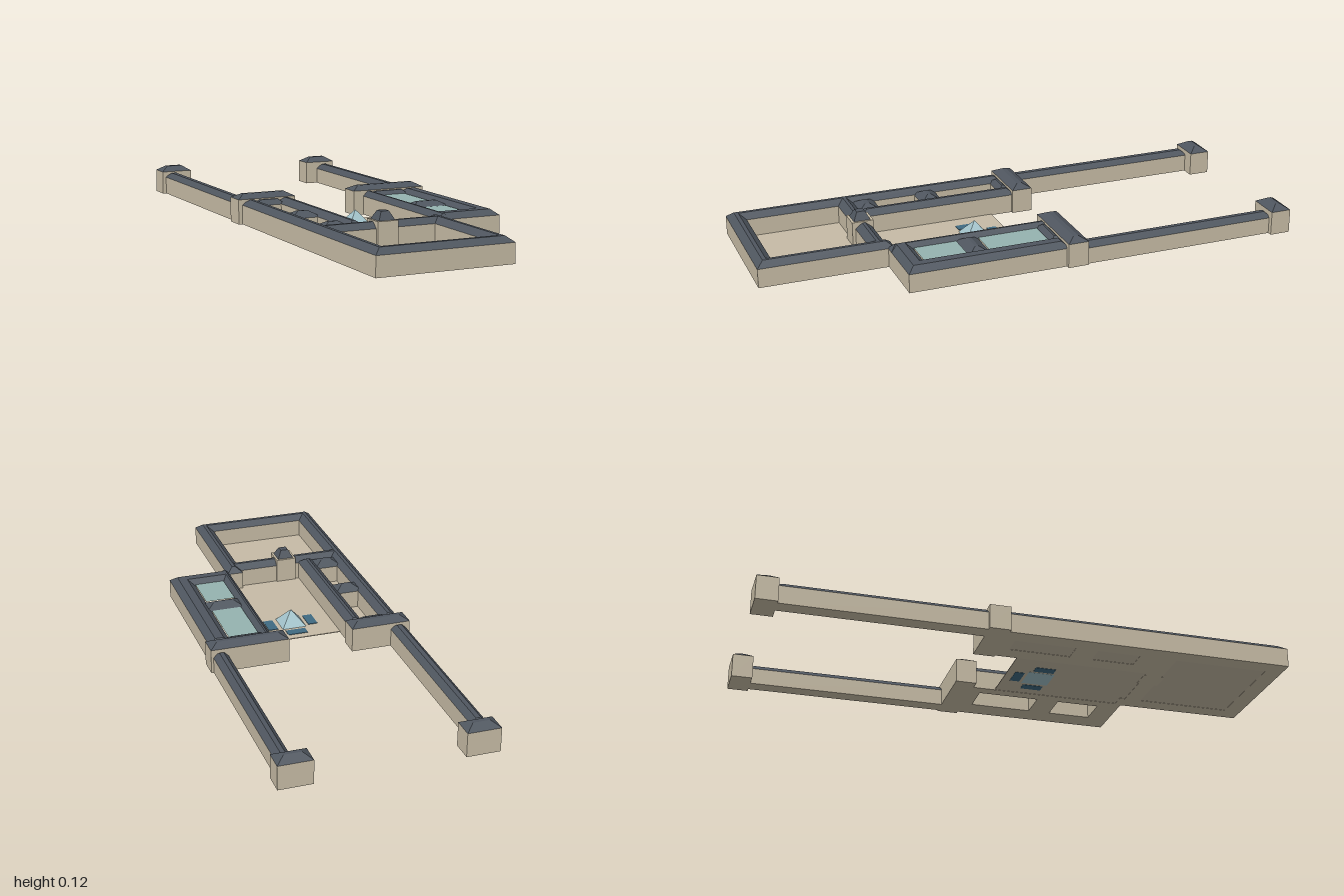
import * as THREE from 'three';

const material = (name, color) => {
  const m = new THREE.MeshStandardMaterial({ color, flatShading: true });
  m.name = name;
  return m;
};

export function createModel() {
  const stone = material('pale stone', 0xcabfa8);
  const paving = material('paving', 0xc6bba6);
  const slate = material('slate roof', 0x4f565f);
  const glass = material('court glass', 0x95b3b0);
  const pyramidGlass = material('pyramid glass', 0xa3c4cc);
  const water = material('pool water', 0x3f6a82);

  const model = new THREE.Group();
  model.name = 'palace';
  // The whole plan is turned twelve degrees from the axes
  const plan = new THREE.Group();
  plan.name = 'palacePlan';
  plan.rotation.y = -THREE.MathUtils.degToRad(12);
  model.add(plan);

  // Box between two plan corners; an inset draws its top edges inward
  function block(name, mat, x0, x1, z0, z1, y0, y1, inset = 0) {
    const w = x1 - x0, d = z1 - z0;
    const geo = new THREE.BoxGeometry(w, y1 - y0, d);
    if (inset) {
      const p = geo.attributes.position;
      for (let i = 0; i < p.count; i++) {
        if (p.getY(i) < 0) continue;
        p.setX(i, p.getX(i) - Math.sign(p.getX(i)) * Math.min(inset, w / 2 - 0.001));
        p.setZ(i, p.getZ(i) - Math.sign(p.getZ(i)) * Math.min(inset, d / 2 - 0.001));
      }
      geo.computeVertexNormals();
    }
    const mesh = new THREE.Mesh(geo, mat);
    mesh.name = name;
    mesh.position.set((x0 + x1) / 2, (y0 + y1) / 2, (z0 + z1) / 2);
    plan.add(mesh);
    return mesh;
  }

  // Stone range under a hipped slate roof
  function range(name, x0, x1, z0, z1, eave, ridge, inset = 0.025) {
    block(name + 'Walls', stone, x0, x1, z0, z1, 0, eave);
    block(name + 'Roof', slate, x0, x1, z0, z1, eave, ridge, inset);
  }

  // Long galleries ending in square pavilions
  range('northGallery', -0.87, -0.12, -0.368, -0.312, 0.06, 0.08, 0.02);
  range('southGallery', -0.87, -0.12, 0.305, 0.363, 0.066, 0.084, 0.02);
  range('northEndPavilion', -0.937, -0.861, -0.386, -0.264, 0.088, 0.107, 0.03);
  range('southEndPavilion', -0.941, -0.863, 0.256, 0.377, 0.088, 0.107, 0.03);

  // Taller cross ranges facing the gardens
  range('northFront', -0.134, -0.057, -0.377, -0.086, 0.09, 0.106, 0.03);
  range('southFront', -0.134, -0.057, 0.155, 0.378, 0.09, 0.106, 0.03);

  // Parallel ranges of the two main blocks
  range('northOuterRange', -0.07, 0.524, -0.362, -0.28, 0.069, 0.089);
  range('northInnerRange', -0.07, 0.524, -0.168, -0.125, 0.069, 0.089, 0.018);
  range('northEndRange', 0.443, 0.524, -0.362, -0.125, 0.069, 0.089);
  range('southInnerRange', -0.07, 0.53, 0.165, 0.226, 0.07, 0.09);
  range('southOuterRange', -0.07, 0.99, 0.3, 0.363, 0.07, 0.09);

  // Links dividing each block into small courts
  for (const [side, z0, z1] of [['north', -0.3, -0.15], ['south', 0.21, 0.32]]) {
    range(side + 'WestLink', -0.07, -0.022, z0, z1, 0.069, 0.087, 0.02);
    range(side + 'MiddleLink', 0.203, 0.285, z0, z1, 0.069, 0.089, 0.035);
  }
  range('southEastLink', 0.443, 0.53, 0.21, 0.32, 0.069, 0.089, 0.035);

  // Ranges around the square eastern court
  range('courtNorthRange', 0.5, 0.99, -0.134, -0.072, 0.07, 0.09);
  range('courtEastRange', 0.926, 0.99, -0.134, 0.363, 0.07, 0.09);
  range('courtWestRange', 0.52, 0.582, -0.134, 0.363, 0.07, 0.09);

  // Gate pavilion with its steep truncated roof
  block('gatePavilionWalls', stone, 0.514, 0.594, 0.073, 0.15, 0, 0.095);
  block('gatePavilionRoof', slate, 0.523, 0.585, 0.081, 0.142, 0.095, 0.125, 0.016);

  // Paved courts; the glazed north block stays open underneath
  block('mainCourtPaving', paving, 0.025, 0.55, -0.13, 0.17, 0.001, 0.004);
  block('southCourtPaving', paving, -0.06, 0.55, 0.17, 0.36, 0.001, 0.004);
  block('eastCourtPaving', paving, 0.55, 0.985, -0.13, 0.36, 0.001, 0.004);

  // Glass roofs over the two north courts
  for (const [x0, x1] of [[-0.022, 0.203], [0.285, 0.443]]) {
    const pane = new THREE.Mesh(new THREE.PlaneGeometry(x1 - x0, 0.112), glass);
    pane.name = 'courtGlassRoof';
    pane.rotation.x = -Math.PI / 2;
    pane.position.set((x0 + x1) / 2, 0.074, -0.224);
    plan.add(pane);
  }

  // Glass pyramid
  const pyramid = new THREE.Mesh(new THREE.ConeGeometry(0.049 * Math.SQRT2, 0.06, 4), pyramidGlass);
  pyramid.name = 'glassPyramid';
  pyramid.rotation.y = Math.PI / 4;
  pyramid.position.set(0.15, 0.03, 0.012);
  plan.add(pyramid);

  // Pools on three sides of the pyramid
  for (const [x, z, w, d] of [[0.15, -0.068, 0.076, 0.036], [0.072, 0.01, 0.036, 0.076], [0.153, 0.088, 0.076, 0.036]])
    block('pool', water, x - w / 2, x + w / 2, z - d / 2, z + d / 2, 0, 0.006);

  return model;
}
